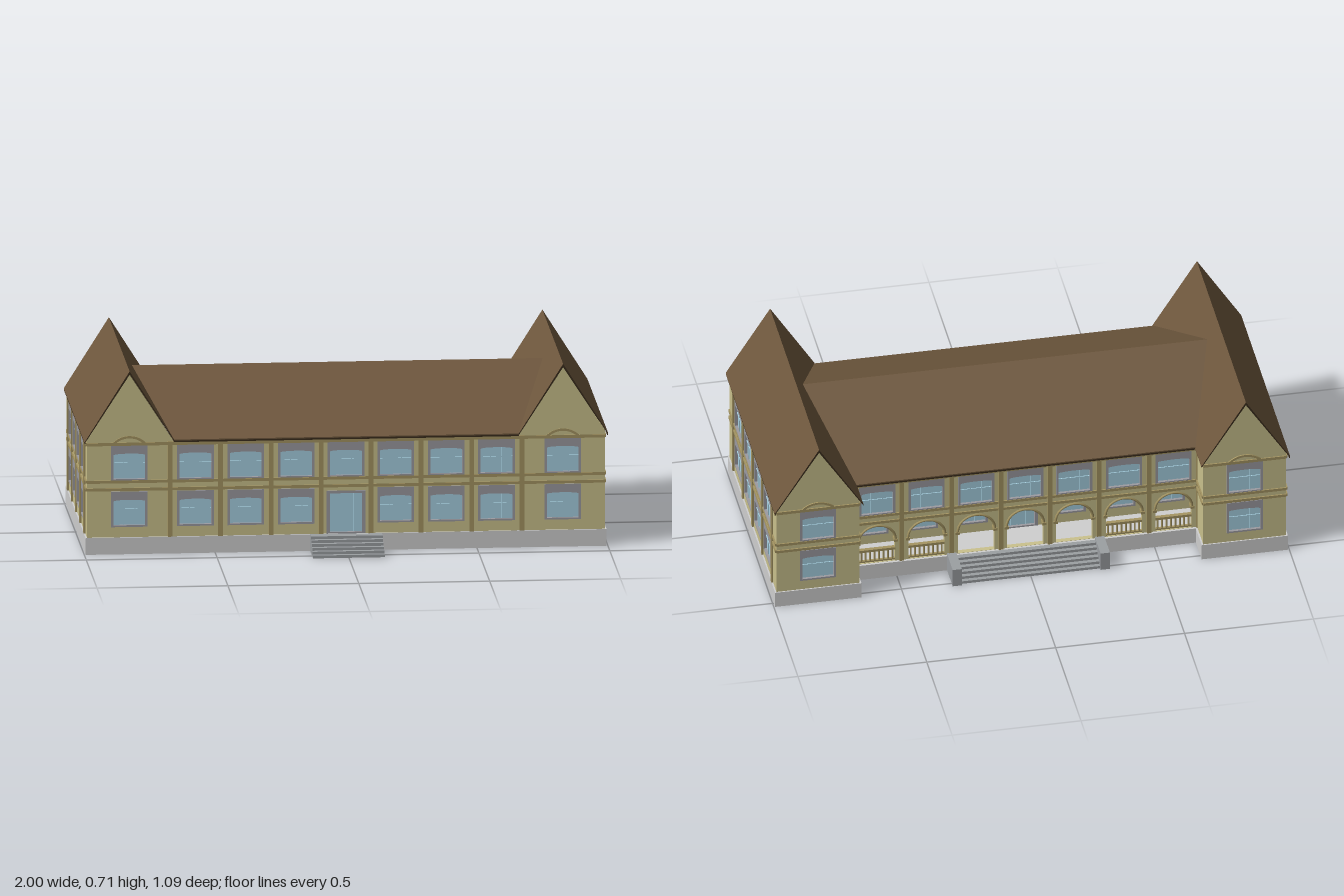
import * as THREE from 'three';

const mat = (name, color) => {
  const m = new THREE.MeshStandardMaterial({ color });
  m.name = name;
  return m;
};

export function createModel() {
  const M = {
    wall: mat('sandstone wall', 0xcbc28d),
    trim: mat('ochre trim', 0xa69663),
    roof: mat('brown roof', 0x6e573d),
    fascia: mat('dark fascia', 0x3a2c1c),
    base: mat('plinth grey', 0xd0d0d0),
    step: mat('step grey', 0x9ca0a3),
    frame: mat('window frame grey', 0x9d9ca2),
    glass: mat('pale blue glass', 0xa8d2e3),
  };
  const model = new THREE.Group();
  model.name = 'schoolhouse';

  const add = (parent, name, geo, material, x = 0, y = 0, z = 0) => {
    const m = new THREE.Mesh(geo, material);
    m.name = name;
    m.position.set(x, y, z);
    parent.add(m);
    return m;
  };
  const box = (parent, name, material, x0, x1, y0, y1, z0, z1) =>
    add(parent, name, new THREE.BoxGeometry(x1 - x0, y1 - y0, z1 - z0), material,
      (x0 + x1) / 2, (y0 + y1) / 2, (z0 + z1) / 2);
  const poly = pts => pts.map(p => new THREE.Vector2(p[0], p[1]));
  const rect = (x0, x1, y0, y1) => poly([[x0, y0], [x1, y0], [x1, y1], [x0, y1]]);
  // opening with a curved head: springs at y1, rises by h
  const archPts = (u, w, y0, y1, h, n = 12) => {
    const pts = [[u - w, y0], [u + w, y0]];
    for (let i = 0; i <= n; i++) {
      const a = Math.PI * i / n;
      pts.push([u + w * Math.cos(a), y1 + h * Math.sin(a)]);
    }
    return poly(pts);
  };
  const plate = (outline, holes, depth) => {
    const s = new THREE.Shape(outline);
    holes.forEach(h => s.holes.push(new THREE.Path(h)));
    return new THREE.ExtrudeGeometry(s, { depth, bevelEnabled: false });
  };

  const FLOOR = 0.065, EAVE = 0.448, LOW = 0.105, HIGH = 0.285;

  // framed window with a deep head, nearly flat arch and slim glazing bars
  function addWindow(g, u, v) {
    const w = new THREE.Group();
    w.name = 'window';
    w.position.set(u, v, 0);
    g.add(w);
    add(w, 'windowFrame', plate(rect(-0.07, 0.07, 0, 0.138),
      [archPts(0, 0.061, 0.007, 0.1, 0.006)], 0.014), M.frame, 0, 0, -0.011);
    add(w, 'windowGlass', new THREE.PlaneGeometry(0.126, 0.11), M.glass, 0, 0.06, -0.008);
    for (const x of [-0.022, 0.022]) box(w, 'glazingBar', M.glass, x - 0.0015, x + 0.0015, 0.007, 0.104, -0.008, -0.004);
    box(w, 'transom', M.glass, -0.061, 0.061, 0.066, 0.069, -0.008, -0.004);
  }
  function addDoor(g, u) {
    add(g, 'doorFrame', plate(rect(u - 0.075, u + 0.075, FLOOR, 0.232),
      [rect(u - 0.062, u + 0.062, FLOOR + 0.006, 0.222)], 0.014), M.frame, 0, 0, -0.011);
    box(g, 'doorGlass', M.glass, u - 0.064, u + 0.064, FLOOR, 0.224, -0.014, -0.008);
    for (const x of [-0.03, 0, 0.03]) box(g, 'doorBar', M.glass, u + x - 0.0015, u + x + 0.0015, FLOOR + 0.006, 0.222, -0.008, -0.004);
  }

  // wall in local x (along), y (up), facing +z; holes hold windows, doors or arches
  function facade(name, half, { windows = [], doors = [], arches = [], piers = [], gable = false, top = EAVE, bands = true }) {
    const g = new THREE.Group();
    g.name = name;
    model.add(g);
    const outline = rect(-half, half, FLOOR, top);
    if (gable) outline.splice(3, 0, new THREE.Vector2(0, 0.698));
    const holes = [
      ...windows.map(([u, v]) => rect(u - 0.069, u + 0.069, v + 0.001, v + 0.137)),
      ...doors.map(u => rect(u - 0.074, u + 0.074, FLOOR + 0.001, 0.231)),
      ...arches.map(u => archPts(u, 0.07, FLOOR + 0.001, 0.165, 0.068)),
    ];
    add(g, 'wall', plate(outline, holes, 0.02), M.wall, 0, 0, -0.02);
    windows.forEach(([u, v]) => addWindow(g, u, v));
    doors.forEach(u => addDoor(g, u));
    if (bands) for (const [a, b] of [[0.246, 0.257], [0.276, 0.287], [0.422, 0.434]])
      box(g, 'stringCourse', M.trim, -half, half, a, b, -0.002, 0.005);
    piers.forEach(u => box(g, 'pilaster', M.trim, u - 0.009, u + 0.009, FLOOR, 0.436, -0.002, 0.007));
    for (const u of arches) {
      const t = add(g, 'archMoulding', new THREE.TorusGeometry(0.072, 0.005, 6, 16, Math.PI), M.trim, u, 0.165, 0);
      t.scale.y = 0.97;
      for (const s of [-1, 1]) box(g, 'archImpost', M.trim, u + s * 0.073 - 0.008, u + s * 0.073 + 0.008, 0.155, 0.166, -0.021, 0.006);
    }
    if (gable) {
      const arc = new THREE.Shape();
      arc.absarc(0, 0, 0.089, 0.68, Math.PI - 0.68, false);
      arc.absarc(0, 0, 0.08, Math.PI - 0.68, 0.68, true);
      add(g, 'windowHood', new THREE.ExtrudeGeometry(arc, { depth: 0.006, bevelEnabled: false }), M.trim, 0, 0.3705, -0.001);
    }
    return g;
  }
  const place = (g, x, z, ry) => { g.position.set(x, 0, z); g.rotation.y = ry; };

  const bays = [-0.575, -0.383, -0.19, 0, 0.19, 0.383, 0.575];
  const piers = [-0.672, -0.48, -0.286, -0.095, 0.095, 0.286, 0.48, 0.672];
  const row = (list, v) => list.map(u => [u, v]);

  // plinth: a thin skirt, open below, with a floor slab on top
  const plan = d => poly([
    [-0.995 + d, -0.41 + d], [0.995 - d, -0.41 + d], [0.995 - d, 0.525 - d], [0.66 + d, 0.525 - d],
    [0.66 + d, 0.41 - d], [-0.66 - d, 0.41 - d], [-0.66 - d, 0.525 - d], [-0.995 + d, 0.525 - d]]);
  add(model, 'plinthSkirt', plate(plan(0), [plan(0.003)], FLOOR), M.base).rotation.x = -Math.PI / 2;
  add(model, 'floorSlab', plate(plan(0.002), [], 0.0195), M.base, 0, 0.0455, 0).rotation.x = -Math.PI / 2;

  // central block: front, arcaded back, and the wall behind the porch
  place(facade('frontWall', 0.67, {
    windows: [...row(bays, HIGH), ...row(bays.filter(u => u), LOW)], doors: [0], piers,
  }), 0, 0.403, 0);
  place(facade('backArcade', 0.67, { windows: row(bays, HIGH), arches: bays, piers }), 0, -0.4, Math.PI);
  place(facade('porchWall', 0.67, {
    windows: row(bays.filter(u => u), LOW), doors: [0], top: 0.26, bands: false,
  }), 0, -0.27, Math.PI);
  box(model, 'porchCeiling', M.wall, -0.67, 0.67, 0.25, 0.26, -0.385, -0.27);

  // balustrades in the outer arches
  for (const u of bays.filter(b => Math.abs(b) > 0.3)) {
    const g = new THREE.Group();
    g.name = 'balustrade';
    g.position.set(u, 0, -0.4);
    model.add(g);
    box(g, 'handrail', M.trim, -0.07, 0.07, 0.118, 0.128, -0.003, 0.013);
    box(g, 'footRail', M.trim, -0.07, 0.07, 0.07, 0.077, 0, 0.01);
    for (let i = 0; i < 8; i++)
      add(g, 'baluster', new THREE.CylinderGeometry(0.004, 0.004, 0.044, 6), M.trim, -0.06 + i * 0.1203 / 7, 0.098, 0.005);
  }

  // main roof, with ends cut to meet the wing roofs
  const mainGeo = new THREE.ExtrudeGeometry(new THREE.Shape(poly(
    [[-0.416, 0.436], [0.416, 0.436], [0.416, 0.445], [0, 0.646], [-0.416, 0.445]])),
  { depth: 2, bevelEnabled: false });
  mainGeo.translate(0, 0, -1);
  mainGeo.rotateY(Math.PI / 2);
  const p = mainGeo.attributes.position;
  for (let i = 0; i < p.count; i++)
    p.setX(i, Math.sign(p.getX(i)) * (0.659 + 0.127 * Math.max(0, p.getY(i) - 0.445) / 0.201));
  mainGeo.computeVertexNormals();
  add(model, 'mainRoof', mainGeo, M.roof);
  for (const s of [-1, 1])
    box(model, 'mainEave', M.fascia, -0.658, 0.658, 0.435, 0.441, s * 0.4155 - 0.002, s * 0.4155 + 0.002);

  // two gabled wings
  for (const s of [-1, 1]) {
    const cx = s * 0.828;
    const gableSpec = { windows: [[0, LOW], [0, HIGH]], gable: true };
    place(facade('wingFront', 0.161, gableSpec), cx, 0.403, 0);
    place(facade('wingBack', 0.161, gableSpec), cx, -0.52, Math.PI);
    const zs = [0.22, 0.03, -0.162, -0.352], mid = -0.0585;
    const toU = z => -s * (z - mid);
    place(facade('wingSide', 0.4615, {
      windows: [...row(zs.map(toU), LOW), ...row(zs.map(toU), HIGH)],
      piers: [0.317, 0.127, -0.065, -0.256, -0.446].map(toU),
    }), s * 0.989, mid, s * Math.PI / 2);
    place(facade('wingInnerWall', 0.135, {}), s * 0.667, -0.385, -s * Math.PI / 2);

    const roof = new THREE.ExtrudeGeometry(new THREE.Shape(poly(
      [[-0.172, 0.436], [-0.172, 0.442], [0, 0.715], [0.172, 0.442], [0.172, 0.436], [0, 0.702]])),
    { depth: 0.967, bevelEnabled: false });
    add(model, 'wingRoof', roof, [M.fascia, M.roof], cx, 0, -0.543);
    box(model, 'wingEave', M.fascia, s * 0.998 - 0.002, s * 0.998 + 0.002, 0.435, 0.439, -0.543, 0.424);
  }

  // stairs: each tread is a block reaching back to the plinth
  const stairs = (name, half, dir, n, landing, reach) => {
    const g = new THREE.Group();
    g.name = name;
    model.add(g);
    for (let i = 0; i < n; i++) {
      const a = dir * 0.409, b = dir * (landing + (reach - landing) * (n - 1 - i) / (n - 1));
      box(g, 'step', M.step, -half, half, FLOOR * i / n, FLOOR * (i + 1) / n, Math.min(a, b), Math.max(a, b));
    }
    return g;
  };
  stairs('frontSteps', 0.137, 1, 6, 0.45, 0.543);
  const back = stairs('backSteps', 0.27, -1, 6, 0.43, 0.51);
  for (const s of [-1, 1])
    box(back, 'stairCheek', M.step, s * 0.287 - 0.018, s * 0.287 + 0.018, 0, 0.075, -0.52, -0.405);

  return model;
}
